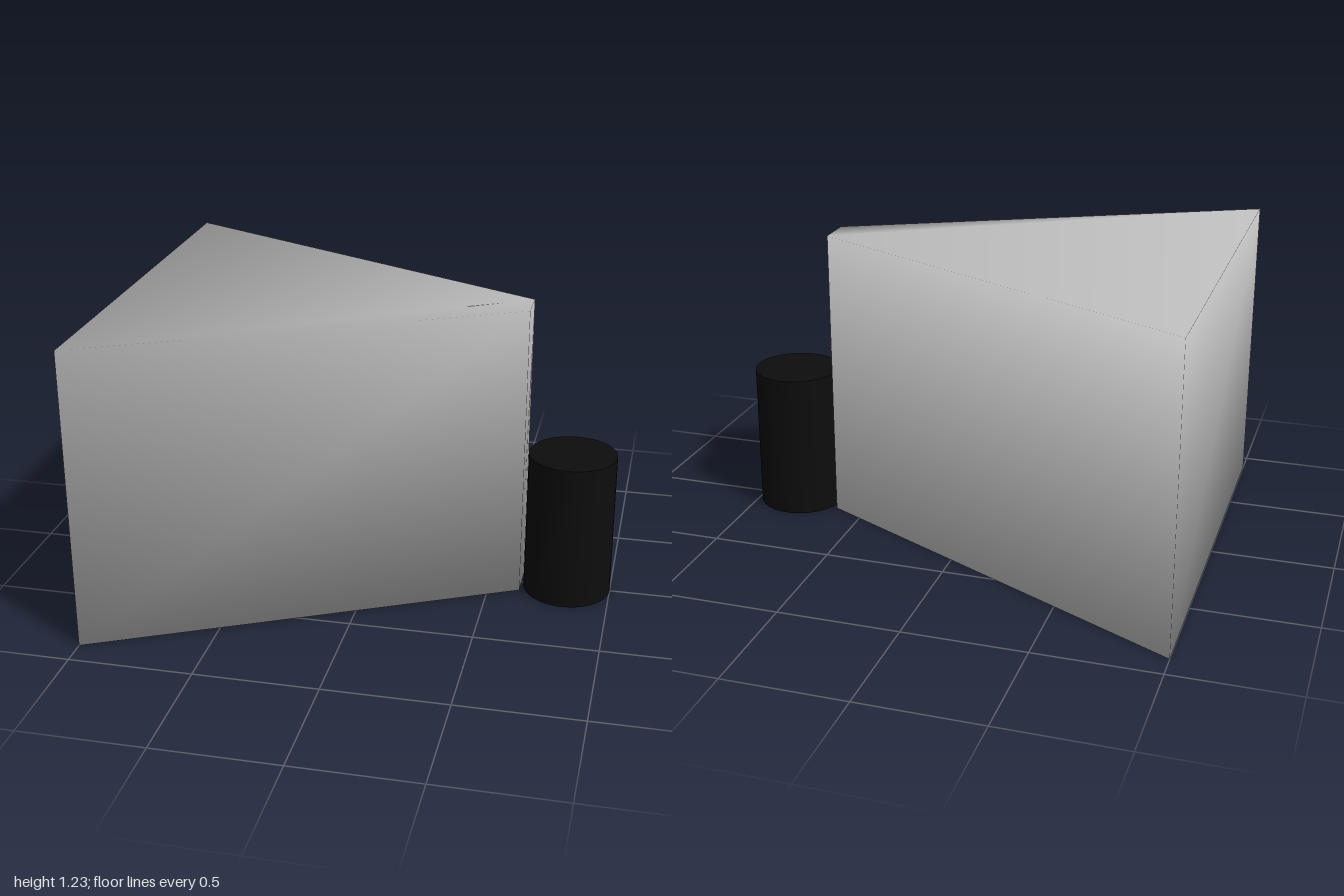
import * as THREE from 'three';
import { mergeVertices } from 'three/addons/utils/BufferGeometryUtils.js';

const HEIGHT = 1.23;
const NARROW_X = 0.63;

// Box pinched towards +x, with shared corners so its shading runs smoothly over the edges
function wedgeGeometry() {
  const geo = new THREE.BoxGeometry(NARROW_X + 1, HEIGHT, 2);
  geo.translate((NARROW_X - 1) / 2, HEIGHT / 2, 0);
  const pos = geo.attributes.position;
  for (let i = 0; i < pos.count; i++) {
    const halfDepth = pos.getX(i) > 0 ? 0.075 : 0.893;
    pos.setZ(i, Math.sign(pos.getZ(i)) * halfDepth);
  }
  geo.deleteAttribute('normal');
  geo.deleteAttribute('uv');
  const welded = mergeVertices(geo);
  welded.computeVertexNormals();
  return welded;
}

export function createModel() {
  const model = new THREE.Group();
  model.name = 'wedgeAndCylinder';

  // Large tapering block
  const wedge = new THREE.Mesh(
    wedgeGeometry(),
    new THREE.MeshStandardMaterial({ color: 0xcccccc })
  );
  wedge.name = 'wedgeBlock';
  model.add(wedge);

  // Dark upright cylinder at the narrow end
  const cylinder = new THREE.Mesh(
    new THREE.CylinderGeometry(0.18, 0.18, 0.61, 48),
    new THREE.MeshStandardMaterial({ color: 0x0d0d0d })
  );
  cylinder.name = 'darkCylinder';
  cylinder.position.set(0.82, 0.305, 0);
  model.add(cylinder);

  return model;
}
